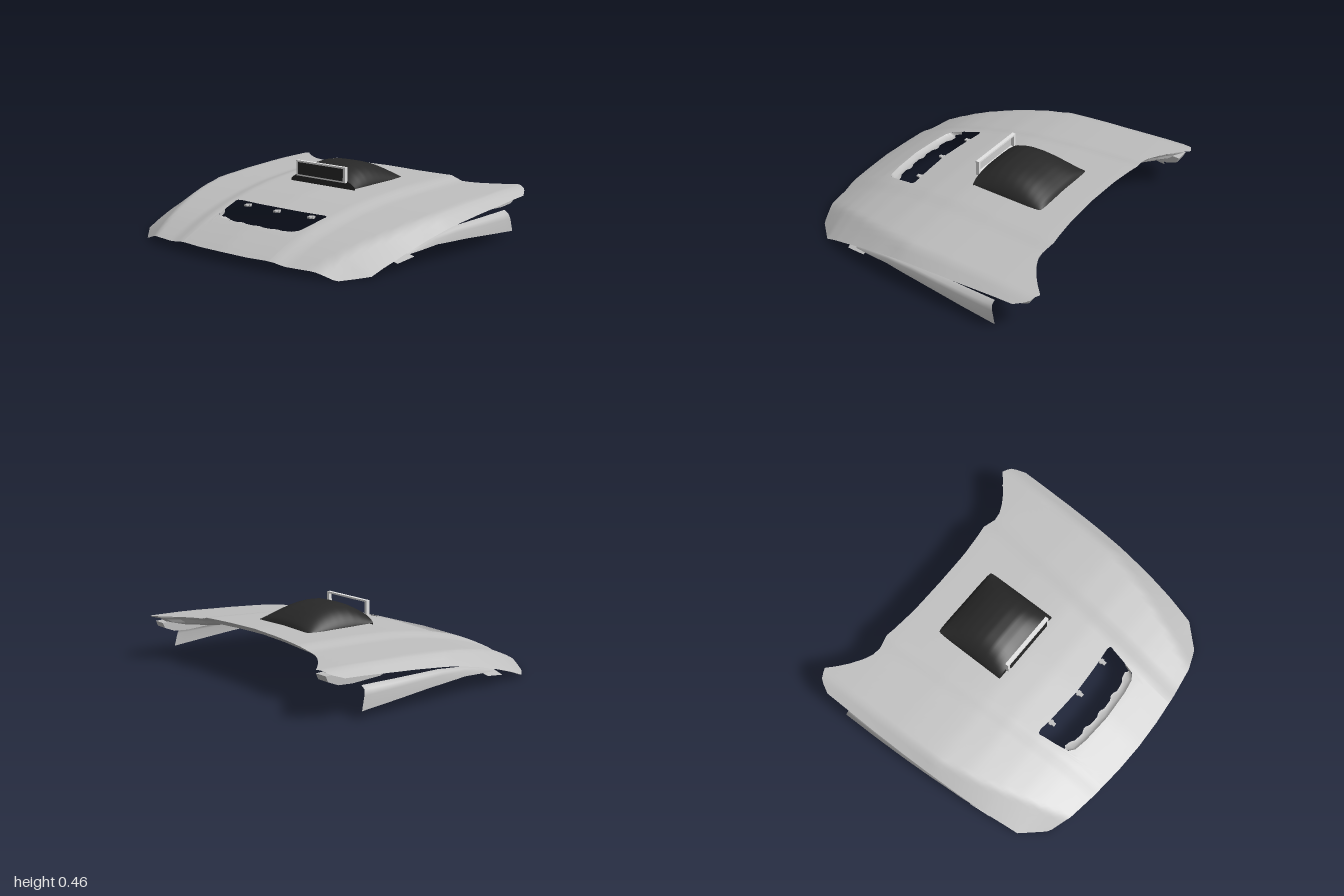
import * as THREE from 'three';
import { mergeGeometries, mergeVertices } from 'three/addons/utils/BufferGeometryUtils.js';

const paint = new THREE.MeshStandardMaterial({ color: 0xbfbfbf, side: THREE.DoubleSide });
paint.name = 'grey paint';
const black = new THREE.MeshStandardMaterial({ color: 0x282828, side: THREE.DoubleSide });
black.name = 'black plastic';
const trim = new THREE.MeshStandardMaterial({ color: 0xe4e4e4 });
trim.name = 'light trim';
const inlet = new THREE.MeshStandardMaterial({ color: 0x282828 });
inlet.name = 'dark inlet';

// Piecewise linear curve through [position, value] pairs
function curve(pts) {
  return (v) => {
    if (v <= pts[0][0]) return pts[0][1];
    for (let i = 1; i < pts.length; i++) {
      const [a, fa] = pts[i - 1], [b, fb] = pts[i];
      if (v <= b) return fa + (fb - fa) * (v - a) / (b - a);
    }
    return pts[pts.length - 1][1];
  };
}
const lerp = THREE.MathUtils.lerp;

// Plan outline, with s running from 0 at the centre to 1 at the side
const halfWidth = curve([[-0.93, 1], [-0.45, 1], [-0.2, 0.995], [0, 0.986], [0.25, 0.967], [0.45, 0.943], [0.64, 0.91]]);
const frontEdge = curve([[0, 0.9], [0.22, 0.893], [0.44, 0.875], [0.69, 0.84], [0.85, 0.785], [1, 0.64]]);
const rearEdge = curve([[0, -0.728], [0.25, -0.733], [0.42, -0.75], [0.485, -0.76], [0.58, -0.742], [0.62, -0.745],
  [0.69, -0.775], [0.77, -0.828], [0.83, -0.876], [0.89, -0.933], [0.95, -0.905], [0.97, -0.88], [1, -0.82]]);

// Vent opening: its edges meet at s = 0.39
const ventRear = curve([[0, 0.397], [0.2, 0.387], [0.36, 0.372], [0.385, 0.378], [0.39, 0.39]]);
const ventFront = curve([[0, 0.64], [0.22, 0.628], [0.32, 0.612], [0.36, 0.585], [0.375, 0.5], [0.385, 0.41], [0.39, 0.39]]);

// Height of the skin: centre line minus a drop towards the sides
const crown = curve([[-0.93, 0.362], [-0.7, 0.36], [-0.3, 0.347], [-0.1, 0.335], [0, 0.327], [0.2, 0.3],
  [0.4, 0.26], [0.55, 0.222], [0.65, 0.19], [0.75, 0.15], [0.84, 0.11], [0.9, 0.08]]);
const crease = curve([[-0.75, 0.49], [0.8, 0.37]]);
const shoulder = curve([[-0.85, 0.93], [0, 0.9], [0.3, 0.83], [0.84, 0.64]]);
const edgeDrop = curve([[-0.93, 0.085], [-0.8, 0.09], [0, 0.12], [0.64, 0.155], [0.785, 0.2]]);
function height(x, z) {
  const c = crease(z);
  const drop = curve([[0, 0], [c, 0.01], [c + 0.09, 0.033], [shoulder(z), 0.048], [halfWidth(z), edgeDrop(z)]]);
  return crown(z) - drop(Math.abs(x));
}
const skinPoint = (s, z) => [s * halfWidth(z), height(s * halfWidth(z), z), z];

// Sheet of quads from f(i, j)
function sheet(nu, nv, f) {
  const pos = [], index = [], w = nu + 1;
  for (let j = 0; j <= nv; j++) for (let i = 0; i <= nu; i++) pos.push(...f(i, j));
  for (let j = 0; j < nv; j++) for (let i = 0; i < nu; i++) {
    const a = j * w + i;
    index.push(a, a + 1, a + w, a + 1, a + w + 1, a + w);
  }
  const g = new THREE.BufferGeometry();
  g.setAttribute('position', new THREE.Float32BufferAttribute(pos, 3));
  g.setIndex(index);
  g.computeVertexNormals();
  return g;
}
function faceted(g) {
  const flat = g.toNonIndexed();
  flat.computeVertexNormals();
  return flat;
}

export function createModel() {
  const model = new THREE.Group();
  const add = (name, geo, mat, x = 0, y = 0, z = 0) => {
    const m = new THREE.Mesh(geo, mat);
    m.name = name;
    m.position.set(x, y, z);
    model.add(m);
    return m;
  };

  // Outer skin: one sheet in front of the vent and one behind it, welded at the sides
  const half = [0.05, 0.1, 0.16, 0.22, 0.27, 0.32, 0.345, 0.36, 0.375, 0.385, 0.39, 0.42, 0.45, 0.485, 0.52, 0.55,
    0.58, 0.62, 0.65, 0.69, 0.73, 0.77, 0.8, 0.83, 0.86, 0.89, 0.92, 0.95, 0.97, 0.985, 1];
  const cols = [...half.map((s) => -s).reverse(), 0, ...half];
  const n = cols.length - 1;
  const panel = (rows, from, to) => sheet(n, rows, (i, j) => {
    const s = cols[i], a = Math.abs(s);
    return skinPoint(s, lerp(from(a), to(a), j / rows));
  });
  const parts = [panel(14, frontEdge, ventFront), panel(30, ventRear, rearEdge)];
  parts.forEach((g) => g.deleteAttribute('normal'));
  const skin = mergeVertices(mergeGeometries(parts), 1e-5);
  skin.computeVertexNormals();
  add('hoodSkin', skin, paint);

  // Inner frame: a hollow rib following the outline underneath
  const loop = [];
  const steps = 28;
  for (let i = 0; i < steps; i++) { const s = -1 + 2 * i / steps; loop.push([s, frontEdge(Math.abs(s))]); }
  for (let i = 0; i < steps; i++) loop.push([1, lerp(0.64, -0.82, i / steps)]);
  for (let i = 0; i < steps; i++) { const s = 1 - 2 * i / steps; loop.push([s, rearEdge(Math.abs(s))]); }
  for (let i = 0; i <= steps; i++) loop.push([-1, lerp(-0.82, 0.64, i / steps)]);
  const rib = [[0.003, 0.002], [0.015, 0.01], [0.05, 0.02], [0.08, 0.042], [0.15, 0.055], [0.2, 0.035], [0.25, 0.006]];
  add('innerFrame', faceted(sheet(loop.length - 1, rib.length - 1, (i, j) => {
    const [s, z] = loop[i], [inset, depth] = rib[j];
    const p = skinPoint(s * (1 - inset), z * (1 - inset));
    return [p[0], p[1] - depth, p[2]];
  })), paint);

  // Vent flange with a scalloped inner edge
  add('ventFlange', sheet(72, 2, (i, j) => {
    const s = lerp(-0.372, 0.372, i / 72), a = Math.abs(s);
    const scallop = 0.014 * Math.max(0, Math.cos(a * 2 * Math.PI / 0.155));
    const p = skinPoint(s, ventFront(a));
    const inward = [0, 0.022, 0.05 + scallop][j] * Math.min(1, (0.372 - a) / 0.03);
    return [p[0], p[1] - [0, 0.022, 0.016][j], p[2] - inward];
  }), paint);

  // Clips along the rear edge of the vent
  for (const x of [-0.26, 0, 0.26]) {
    const z = ventRear(Math.abs(x) / 0.94) + 0.018;
    add('ventClip', new THREE.BoxGeometry(0.024, 0.01, 0.05), paint, x, height(x, z) - 0.014, z);
    add('ventClipHead', new THREE.BoxGeometry(0.036, 0.014, 0.016), paint, x, height(x, z) - 0.016, z - 0.006);
  }

  // Hinge flaps, front tabs, pockets, pads and rear hinge mounts on both sides
  const flapTop = curve([[-0.67, 0.2], [-0.1, 0.198], [0.1, 0.18], [0.36, 0.135]]);
  const flapBottom = curve([[-0.7, 0.065], [-0.2, 0.112], [0.1, 0.13], [0.36, 0.115]]);
  const mount = new THREE.Shape([[-0.42, 0.25], [-0.5, 0.218], [-0.7, 0.206], [-0.8, 0.212], [-0.87, 0.24],
    [-0.885, 0.275], [-0.6, 0.285]].map(([z, y]) => new THREE.Vector2(z, y)));
  const mountGeo = new THREE.ExtrudeGeometry(mount, { depth: 0.09, bevelEnabled: false });
  mountGeo.rotateY(-Math.PI / 2).translate(0.045, 0, 0);
  const padGeo = new THREE.CylinderGeometry(0.12, 0.08, 0.045, 4, 1).rotateY(Math.PI / 4);
  const dish = new THREE.LatheGeometry([[0.001, 0], [0.06, 0], [0.085, 0.014], [0.12, 0.03], [0.15, 0.07]]
    .map(([r, y]) => new THREE.Vector2(r, y)), 32);
  for (const side of [-1, 1]) {
    add('sideFlap', sheet(16, 3, (i, j) => {
      const z = lerp(0.36, [-0.67, -0.67, -0.68, -0.7][j], i / 16);
      const x = halfWidth(z) - [0.045, 0.015, 0.006, 0.001][j];
      return [side * x, lerp(flapTop(z), flapBottom(z), [0, 0.15, 0.4, 1][j]), z];
    }), paint);
    add('frontTab', sheet(3, 1, (i, j) => {
      const z = 0.3 + i * 0.047;
      return [side * (j ? 0.87 : halfWidth(z) - 0.002), 0.095 - i * 0.006 + j * 0.02, z];
    }), paint);
    add('roundPocket', dish, paint, side * 0.71, 0.165, -0.17);
    add('rearHingeMount', mountGeo, paint, side * 0.87);
    const pad = add('framePad', padGeo, paint, side * 0.66, height(0.66, 0.48) - 0.068, 0.48);
    pad.rotation.x = 0.28;
  }

  // Domed scoop
  const rise = curve([[-0.525, 0], [-0.515, 0.022], [-0.495, 0.042], [-0.45, 0.068], [-0.4, 0.091], [-0.35, 0.107],
    [-0.29, 0.12], [-0.23, 0.126], [-0.16, 0.122], [-0.1, 0.105], [-0.05, 0.08], [-0.02, 0.06]]);
  const bulge = (u) => Math.pow(1 - Math.pow(Math.abs(u), 3.2), 0.75);
  const base = 0.345;
  const dome = (i, j) => {
    const u = Math.sin((i / 32 - 0.5) * Math.PI), z = lerp(-0.02, -0.525, j / 40);
    return [0.265 * u, base + rise(z) * bulge(u), z];
  };
  add('scoopDome', sheet(32, 40, dome), black);
  add('scoopFront', sheet(32, 1, (i, j) => {
    const p = dome(i, 0);
    return j ? p : [p[0], base - 0.01, p[2]];
  }), black);

  // Rectangular intake surround and its dark face, open from behind
  const outer = new THREE.Shape();
  outer.moveTo(-0.202, -0.05).lineTo(0.202, -0.05).lineTo(0.202, 0.05).lineTo(-0.202, 0.05).closePath();
  const opening = new THREE.Path();
  opening.moveTo(-0.184, -0.039).lineTo(-0.184, 0.039).lineTo(0.184, 0.039).lineTo(0.184, -0.039).closePath();
  outer.holes.push(opening);
  add('intakeSurround', new THREE.ExtrudeGeometry(outer, { depth: 0.024, bevelEnabled: false }), trim, 0, 0.427, -0.022);
  add('intakeFace', new THREE.PlaneGeometry(0.37, 0.079), inlet, 0, 0.427, 0.004);

  return model;
}
